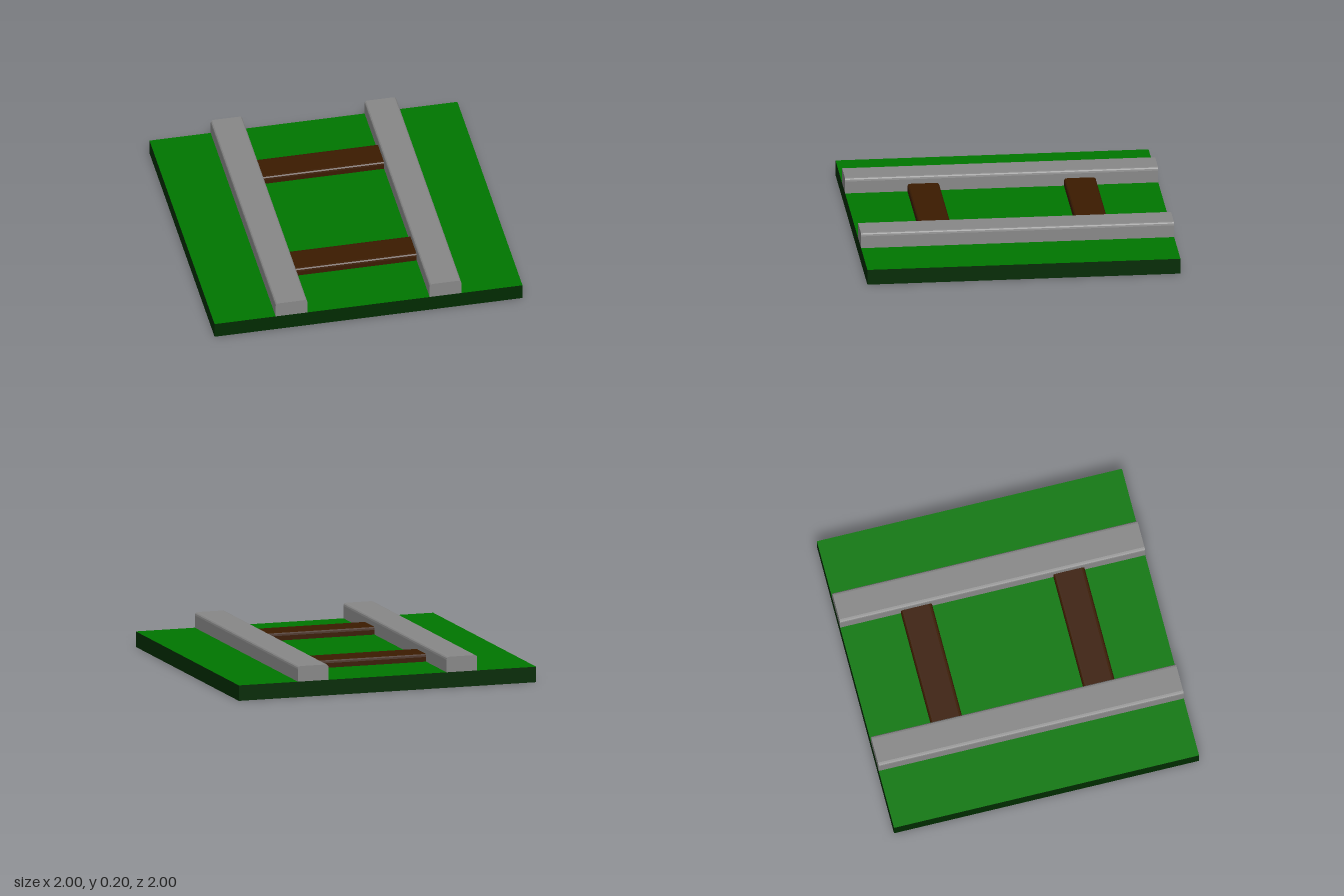
import * as THREE from 'three';

const paint = (name, color) => {
  const m = new THREE.MeshStandardMaterial({ color });
  m.name = name;
  return m;
};

// Bar along z, square at the bottom, with softly bevelled top edges
function bevelledBar(width, height, length, bevel) {
  const w = width / 2;
  const s = new THREE.Shape();
  s.moveTo(-w, 0);
  s.lineTo(w, 0);
  s.lineTo(w, height - bevel);
  s.quadraticCurveTo(w, height, w - bevel, height);
  s.lineTo(-w + bevel, height);
  s.quadraticCurveTo(-w, height, -w, height - bevel);
  s.closePath();
  const g = new THREE.ExtrudeGeometry(s, { depth: length, bevelEnabled: false, curveSegments: 3 });
  return g.translate(0, 0, -length / 2);
}

export function createModel() {
  const grass = paint('grass green', 0x007700);
  const edge = paint('dark green', 0x002b00);
  const steel = paint('grey', 0x888888);
  const wood = paint('dark brown', 0x3b1b00);
  const underside = paint('light grey', 0xd2d2d2);

  const model = new THREE.Group();
  model.name = 'trackTile';
  const add = (name, geometry, material, x, y, z) => {
    const mesh = new THREE.Mesh(geometry, material);
    mesh.name = name;
    mesh.position.set(x, y, z);
    model.add(mesh);
  };

  // Ground slab: dark sides, grass top, light grey underside
  add('groundSlab', new THREE.BoxGeometry(2, 0.1, 2),
    [edge, edge, grass, underside, edge, edge], 0, 0.05, 0);

  // Two rails running front to back, two sleepers between them
  const rail = bevelledBar(0.206, 0.1, 2, 0.02);
  const sleeper = bevelledBar(0.204, 0.05, 0.8, 0.02).rotateY(Math.PI / 2);
  for (const side of [-1, 1]) {
    add(side > 0 ? 'leftRail' : 'rightRail', rail, steel, side * 0.5, 0.1, 0);
    add(side > 0 ? 'frontSleeper' : 'backSleeper', sleeper, wood, 0, 0.1, side * 0.5);
  }
  return model;
}
